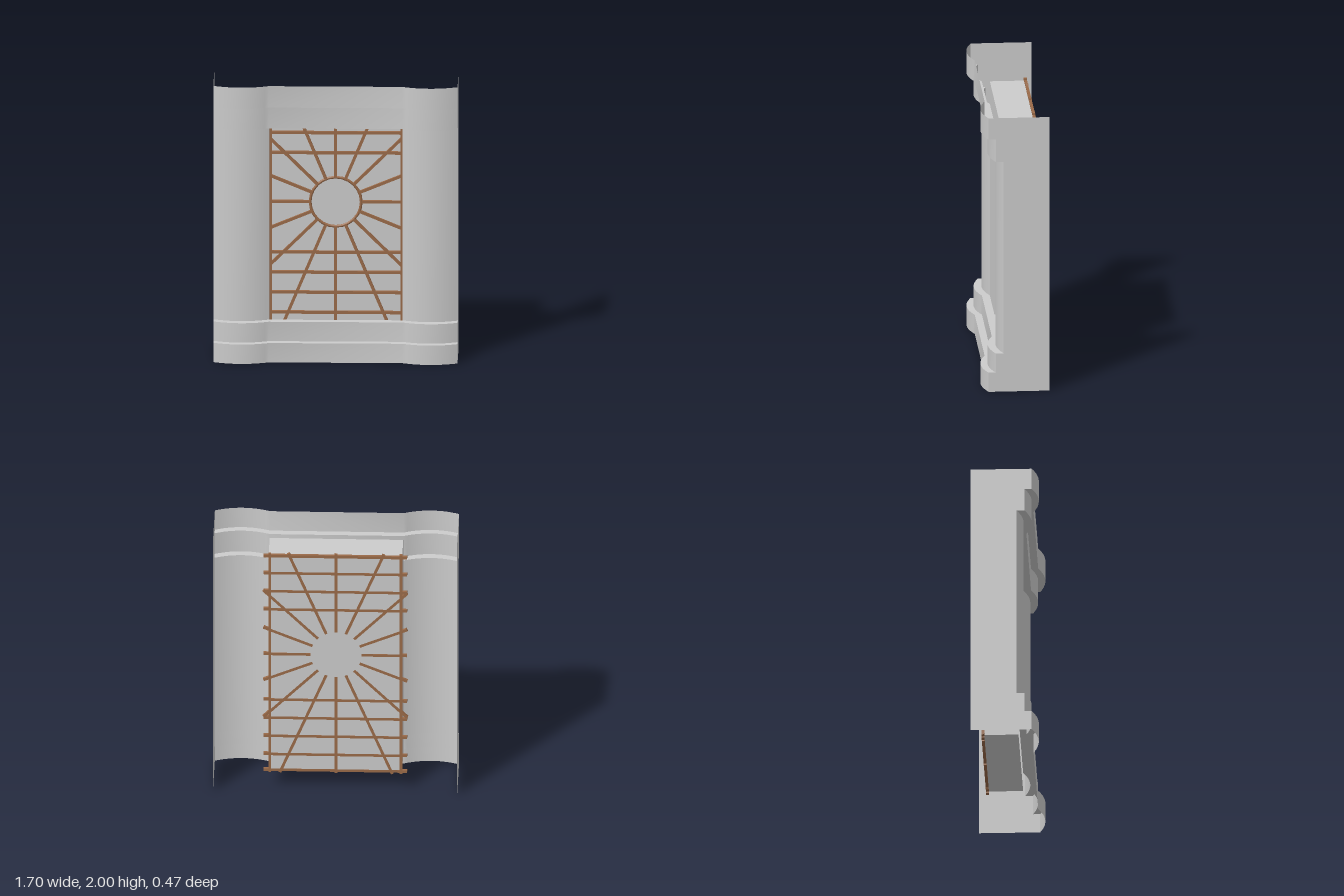
import * as THREE from 'three';
import { toCreasedNormals } from 'three/addons/utils/BufferGeometryUtils.js';

const stone = new THREE.MeshStandardMaterial({ color: 0xcccccc, side: THREE.DoubleSide });
const wood = new THREE.MeshStandardMaterial({ color: 0x9a6a48 });

const HALF = 0.85, INNER = 0.465, SAG = 0.043, BACK = -0.235;
const NICHE = { bottom: 0.14, top: 1.845, back: -0.172, front: 0.085 };

// Stepped [y, z] profiles of the plinth, the shafts and the cornice
const plinth = [[0, 0.19], [0.14, 0.19], [0.14, 0.14], [0.28, 0.14], [0.28, 0.085]];
const shaft = [[0.28, 0.085], [1.68, 0.085]];
const cornice = [[1.68, 0.085], [1.68, 0.14], [1.845, 0.14], [1.845, 0.19], [2, 0.19]];

// Plan of one bulging pilaster: [x, forward offset], x rising
function bulge(side) {
  const pts = [], n = 14;
  for (let i = 0; i <= n; i++) {
    const t = i / n;
    const x = INNER + (HALF - INNER) * t;
    pts.push([side * x, SAG * (1 - (2 * t - 1) ** 2)]);
  }
  return side > 0 ? pts : pts.reverse();
}

// Sweeps a profile along a plan
function sweep(plan, profile) {
  const pos = [], index = [], m = profile.length;
  for (const [x, dz] of plan) for (const [y, z] of profile) pos.push(x, y, z + dz);
  for (let i = 0; i < plan.length - 1; i++) {
    for (let j = 0; j < m - 1; j++) {
      const a = i * m + j, b = a + m;
      index.push(a, b, b + 1, a, b + 1, a + 1);
    }
  }
  const g = new THREE.BufferGeometry();
  g.setAttribute('position', new THREE.Float32BufferAttribute(pos, 3));
  g.setIndex(index);
  return toCreasedNormals(g, 0.4);
}

function add(parent, name, geometry, material) {
  const mesh = new THREE.Mesh(geometry, material);
  mesh.name = name;
  parent.add(mesh);
  return mesh;
}

// Bar between two points in the lattice plane
function bar(parent, name, x1, y1, x2, y2, z = -0.163) {
  const length = Math.hypot(x2 - x1, y2 - y1);
  const mesh = add(parent, name, new THREE.BoxGeometry(length, 0.02, 0.02), wood);
  mesh.position.set((x1 + x2) / 2, (y1 + y2) / 2, z);
  mesh.rotation.z = Math.atan2(y2 - y1, x2 - x1);
}

export function createModel() {
  const model = new THREE.Group();
  model.name = 'nicheWithLattice';

  // Front wall
  const plan = [...bulge(-1), ...bulge(1)];
  add(model, 'plinth', sweep(plan, plinth), stone);
  add(model, 'cornice', sweep(plan, cornice), stone);
  add(model, 'rightPilaster', sweep(bulge(-1), shaft), stone);
  add(model, 'leftPilaster', sweep(bulge(1), shaft), stone);

  // Flat side walls following the stepped outline
  const outline = [[0, BACK], ...plinth, ...cornice, [2, BACK]];
  const sideShape = new THREE.Shape(outline.map(([y, z]) => new THREE.Vector2(-z, y)));
  for (const side of [-1, 1]) {
    const wall = add(model, side > 0 ? 'leftWall' : 'rightWall', new THREE.ShapeGeometry(sideShape), stone);
    wall.rotation.y = Math.PI / 2;
    wall.position.x = side * HALF;
  }

  // Niche box, open at the front
  const h = NICHE.top - NICHE.bottom, d = NICHE.front - NICHE.back;
  const box = new THREE.BoxGeometry(INNER * 2, h, d);
  const faces = Array.from(box.index.array);
  faces.splice(24, 6);
  box.setIndex(faces);
  box.clearGroups();
  add(model, 'niche', box, stone).position.set(0, NICHE.bottom + h / 2, NICHE.back + d / 2);

  // Lattice: posts, rails, ring and rays
  const lattice = new THREE.Group();
  lattice.name = 'lattice';
  model.add(lattice);
  const low = NICHE.bottom - 0.02, high = NICHE.top + 0.02, reach = 0.5;
  for (const x of [-0.457, 0.457]) bar(lattice, 'post', x, low, x, high);
  for (const y of [0.14, 0.265, 0.41, 0.555, 0.7, 1.42, 1.565, 1.71, 1.845]) {
    bar(lattice, 'rail', -reach, y, reach, y);
  }
  const cx = -0.005, cy = 1.065, radius = 0.178;
  add(lattice, 'ring', new THREE.TorusGeometry(radius, 0.01, 8, 24), wood).position.set(cx, cy, -0.162);
  for (let i = 0; i < 16; i++) {
    const a = i * Math.PI / 8, c = Math.cos(a), s = Math.sin(a);
    const toSide = Math.abs(c) > 1e-6 ? (Math.sign(c) * reach - cx) / c : Infinity;
    const toEdge = Math.abs(s) > 1e-6 ? ((s > 0 ? high : low) - cy) / s : Infinity;
    const end = Math.min(toSide, toEdge);
    bar(lattice, 'ray', cx + radius * c, cy + radius * s, cx + end * c, cy + end * s, i % 8 ? -0.163 : -0.165);
  }
  return model;
}
